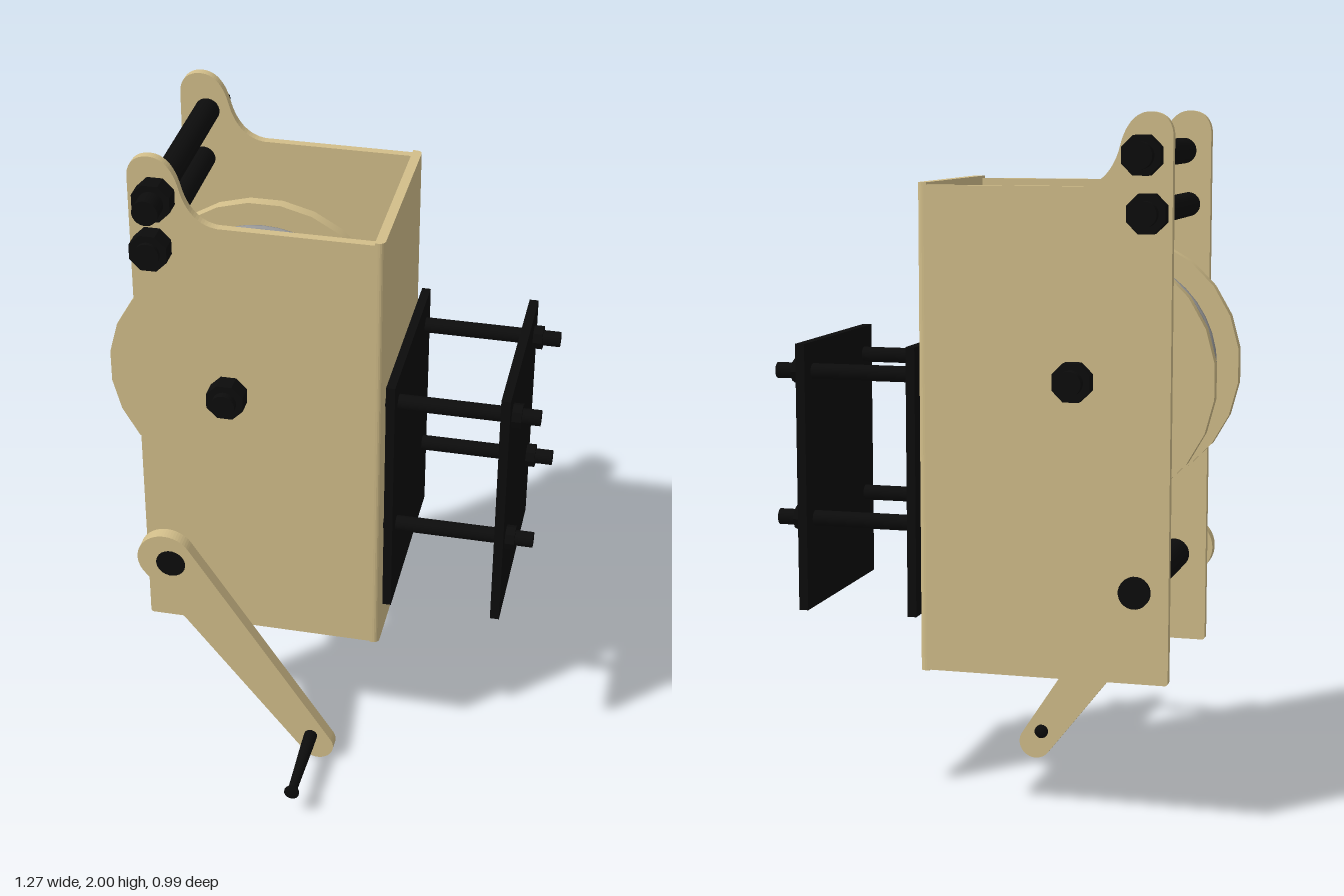
import * as THREE from 'three';

const tan = new THREE.MeshStandardMaterial({ color: 0xd2be8a });
const black = new THREE.MeshStandardMaterial({ color: 0x0c0c0c });
const blackFlat = new THREE.MeshStandardMaterial({ color: 0x0c0c0c, flatShading: true });
const wire = new THREE.MeshStandardMaterial({ color: 0x999999 });

export function createModel() {
  const model = new THREE.Group();

  const add = (name, geometry, material, parent = model) => {
    const mesh = new THREE.Mesh(geometry, material);
    mesh.name = name;
    parent.add(mesh);
    return mesh;
  };
  const box = (name, x0, x1, y0, y1, z0, z1, material) =>
    add(name, new THREE.BoxGeometry(x1 - x0, y1 - y0, z1 - z0), material)
      .position.set((x0 + x1) / 2, (y0 + y1) / 2, (z0 + z1) / 2);
  // cylinder along z
  const rodZ = (name, x, y, z0, z1, r, material = black, sides = 24, parent = model) => {
    const g = new THREE.CylinderGeometry(r, r, z1 - z0, sides);
    g.rotateY(Math.PI / sides).rotateX(Math.PI / 2);
    add(name, g, material, parent).position.set(x, y, (z0 + z1) / 2);
  };
  // cylinder along x
  const rodX = (name, x0, x1, y, z, r, material = black, sides = 20, parent = model) => {
    const g = new THREE.CylinderGeometry(r, r, x1 - x0, sides).rotateZ(Math.PI / 2);
    add(name, g, material, parent).position.set((x0 + x1) / 2, y, z);
  };
  const plate = (name, shape, z0, z1) =>
    add(name, new THREE.ExtrudeGeometry(shape, { depth: z1 - z0, bevelEnabled: false, curveSegments: 16 }), tan)
      .position.z = z0;

  // Side plates, each with a rounded ear at the upper corner
  const side = new THREE.Shape();
  side.moveTo(-0.52, 0.43);
  side.lineTo(0.165, 0.43);
  side.lineTo(0.165, 1.8);
  side.lineTo(-0.28, 1.8);
  side.bezierCurveTo(-0.335, 1.805, -0.37, 1.85, -0.385, 1.91);
  side.bezierCurveTo(-0.4, 1.97, -0.43, 2.0, -0.467, 2.0);
  side.bezierCurveTo(-0.505, 2.0, -0.53, 1.975, -0.53, 1.935);
  side.lineTo(-0.53, 0.44);
  side.quadraticCurveTo(-0.53, 0.43, -0.52, 0.43);
  plate('frontSidePlate', side, 0.12, 0.145);
  plate('backSidePlate', side, -0.43, -0.405);

  // Web joining the plates, rounded along its outer edges
  const web = new THREE.Shape();
  web.moveTo(0.16, -0.145);
  web.lineTo(0.168, -0.145);
  web.quadraticCurveTo(0.188, -0.145, 0.188, -0.125);
  web.lineTo(0.188, 0.41);
  web.quadraticCurveTo(0.188, 0.43, 0.168, 0.43);
  web.lineTo(0.16, 0.43);
  const webGeo = new THREE.ExtrudeGeometry(web, { depth: 1.38, bevelEnabled: false, curveSegments: 6 });
  add('housingWeb', webGeo.rotateX(-Math.PI / 2), tan).position.y = 0.427;

  // Cable drum: core and two flanges
  const cx = -0.26, cy = 1.27;
  rodZ('drumCore', cx, cy, -0.32, 0.04, 0.088, tan, 32);
  rodZ('frontDrumFlange', cx, cy, 0.035, 0.072, 0.377, tan, 24);
  rodZ('backDrumFlange', cx, cy, -0.345, -0.31, 0.377, tan, 24);

  // Two layers of wound cable, as helices
  const winding = (name, radius, z0, z1, turns, phase) => {
    const points = [];
    const steps = turns * 24;
    for (let i = 0; i <= steps; i++) {
      const a = phase + (i / 24) * Math.PI * 2;
      points.push(new THREE.Vector3(cx + radius * Math.cos(a), cy + radius * Math.sin(a),
        THREE.MathUtils.lerp(z0, z1, i / steps)));
    }
    const curve = new THREE.CatmullRomCurve3(points);
    add(name, new THREE.TubeGeometry(curve, turns * 40, 0.012, 8), wire);
  };
  winding('outerCable', 0.306, -0.292, 0.018, 9, 0);
  winding('innerCable', 0.286, 0.02, -0.29, 9, Math.PI);
  const tail = new THREE.LineCurve3(
    new THREE.Vector3(cx + 0.306, cy, -0.292), new THREE.Vector3(cx + 0.335, cy - 0.08, -0.296));
  add('cableEnd', new THREE.TubeGeometry(tail, 2, 0.012, 8), wire);

  // Cross bolts with eight-sided nuts: x, y, rod radius, front end
  const bolts = [
    ['upperGuide', -0.45, 1.885, 0.037, 0.255],
    ['lowerGuide', -0.465, 1.73, 0.035, 0.21],
    ['drumAxle', cx, cy, 0.035, 0.22],
  ];
  for (const [name, x, y, r, front] of bolts) {
    const bolt = new THREE.Group();
    bolt.name = name;
    model.add(bolt);
    rodZ(name + 'Rod', x, y, -0.495, front, r, black, 24, bolt);
    rodZ(name + 'FrontNut', x, y, 0.145, 0.198, 0.058, blackFlat, 8, bolt);
    rodZ(name + 'BackNut', x, y, -0.468, -0.43, 0.058, blackFlat, 8, bolt);
  }

  // Crank shaft
  rodZ('crankShaft', -0.435, 0.69, -0.445, 0.227, 0.045);

  // Crank arm: tapered link between a large and a small round end
  const a = new THREE.Vector2(-0.452, 0.7), b = new THREE.Vector2(0.013, 0.051);
  const ra = 0.086, rb = 0.051;
  const dir = Math.atan2(b.y - a.y, b.x - a.x);
  const spread = Math.acos((ra - rb) / a.distanceTo(b));
  const arm = new THREE.Shape();
  arm.absarc(a.x, a.y, ra, dir + spread, dir - spread + Math.PI * 2, false);
  arm.absarc(b.x, b.y, rb, dir - spread, dir + spread, false);
  arm.closePath();
  plate('crankArm', arm, 0.185, 0.225);

  // Crank handle, waisted with a flared tip
  const profile = [[0, 0.178], [0.021, 0.178], [0.02, 0.27], [0.016, 0.4], [0.014, 0.47],
    [0.023, 0.487], [0.023, 0.493], [0, 0.493]].map(([r, z]) => new THREE.Vector2(r, z));
  add('crankHandle', new THREE.LatheGeometry(profile, 20).rotateX(Math.PI / 2), black)
    .position.set(-0.007, 0.087, 0);

  // Clamp plates and their four long bolts
  box('innerClampPlate', 0.198, 0.224, 0.58, 1.35, -0.43, 0.145, black);
  box('outerClampPlate', 0.525, 0.552, 0.58, 1.35, -0.43, 0.145, black);
  for (const y of [0.838, 1.265]) {
    for (const z of [0.077, -0.36]) {
      const clamp = new THREE.Group();
      clamp.name = 'clampBolt';
      model.add(clamp);
      rodX('clampRod', 0.155, 0.632, y, z, 0.023, black, 20, clamp);
      rodX('clampNut', 0.552, 0.58, y, z, 0.036, blackFlat, 8, clamp);
      rodX('clampHead', 0.15, 0.162, y, z, 0.034, blackFlat, 8, clamp);
    }
  }

  return model;
}
